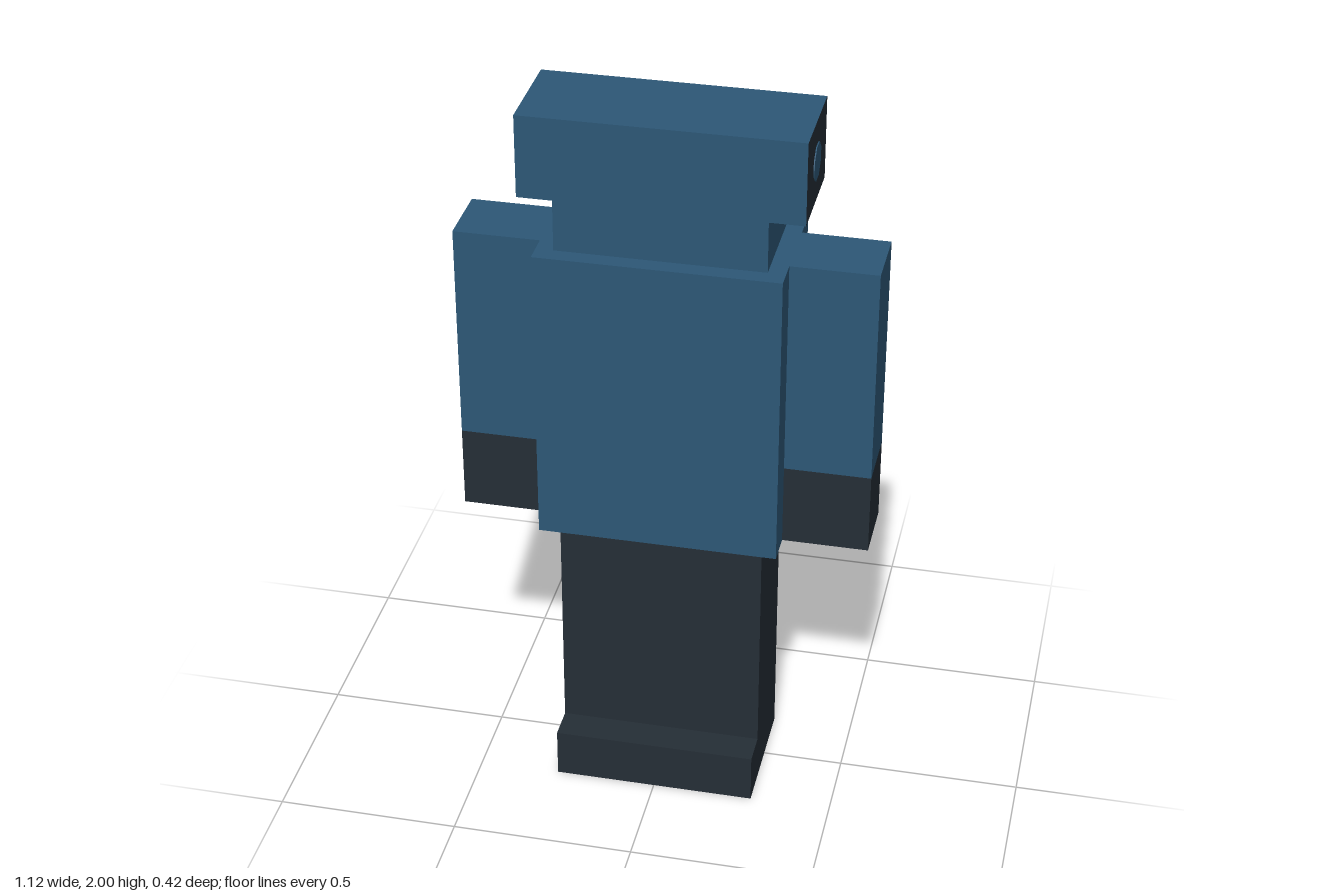
import * as THREE from 'three';

const blue = new THREE.MeshStandardMaterial({ color: 0x2d5877 });
blue.name = 'steelBlue';
const dark = new THREE.MeshStandardMaterial({ color: 0x252e36 });
dark.name = 'charcoal';

// Box given by its lower and upper limits on each axis
function block(name, [x0, x1], [y0, y1], [z0, z1], material) {
  const mesh = new THREE.Mesh(new THREE.BoxGeometry(x1 - x0, y1 - y0, z1 - z0), material);
  mesh.position.set((x0 + x1) / 2, (y0 + y1) / 2, (z0 + z1) / 2);
  mesh.name = name;
  return mesh;
}

export function createModel() {
  const model = new THREE.Group();
  model.name = 'blockFigure';
  const core = [-0.16, 0.115]; // depth shared by head, neck and legs

  // Head: blue shell with dark ends and underside
  model.add(block('head', [-0.372, 0.372], [1.772, 2], core, [dark, dark, blue, dark, blue, blue]));
  model.add(block('neck', [-0.278, 0.278], [1.63, 1.772], core, blue));
  model.add(block('torso', [-0.325, 0.325], [0.793, 1.63], [-0.208, 0.162], blue));

  // Legs and the toe step at the front
  model.add(block('legs', [-0.278, 0.278], [0, 0.793], core, dark));
  model.add(block('feet', [-0.278, 0.278], [0, 0.14], [0.115, 0.208], dark));

  for (const [side, s] of [['left', 1], ['right', -1]]) {
    const xs = s > 0 ? [0.325, 0.558] : [-0.558, -0.325];
    const depth = [-0.115, 0.07];
    model.add(block(side + 'Arm', xs, [1.022, 1.63], depth, blue));
    model.add(block(side + 'Hand', xs, [0.793, 1.022], depth, dark));

    // Octagonal stud on the end of the head
    const stud = new THREE.Mesh(new THREE.CylinderGeometry(0.051, 0.051, 0.004, 8, 1, false, Math.PI / 8), blue);
    stud.rotation.z = Math.PI / 2;
    stud.position.set(s * 0.373, 1.885, -0.022);
    stud.name = side + 'HeadStud';
    model.add(stud);
  }
  return model;
}
